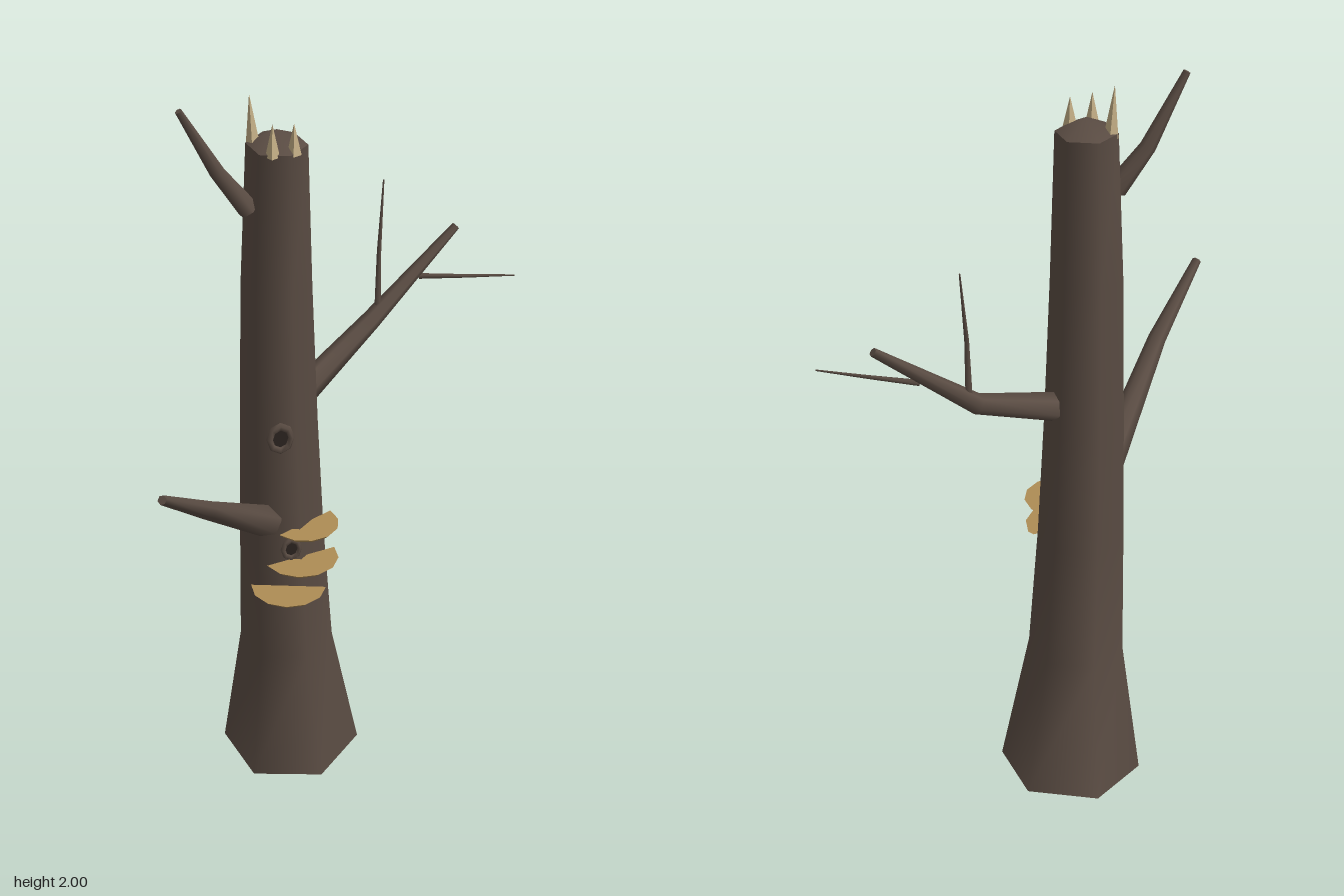
import * as THREE from 'three';

const mat = (name, color, side = THREE.FrontSide) => {
  const m = new THREE.MeshStandardMaterial({ color, side });
  m.name = name;
  return m;
};

// Tapered limb through stations [x, y, z, radius]; rings stand square to the path.
// tipRise and baseCap control the closed ends.
function limbGeometry(stations, sides, tipRise = 0, baseCap = true) {
  const pts = stations.map(s => new THREE.Vector3(s[0], s[1], s[2]));
  const up = new THREE.Vector3(0, 1, 0);
  const pos = [], index = [];
  const add = v => pos.push(v.x, v.y, v.z) / 3 - 1;
  const last = pts.length - 1;
  const tangent = i => pts[Math.min(i + 1, last)].clone().sub(pts[Math.max(i - 1, 0)]).normalize();
  const ring = i => {
    const q = new THREE.Quaternion().setFromUnitVectors(up, tangent(i));
    return Array.from({ length: sides }, (_, k) => {
      const a = k / sides * Math.PI * 2, r = stations[i][3];
      return add(new THREE.Vector3(Math.sin(a) * r, 0, Math.cos(a) * r).applyQuaternion(q).add(pts[i]));
    });
  };
  const rings = pts.map((_, i) => ring(i));
  for (let i = 0; i < last; i++) {
    for (let k = 0; k < sides; k++) {
      const n = (k + 1) % sides;
      const a = rings[i][k], b = rings[i][n], c = rings[i + 1][n], d = rings[i + 1][k];
      index.push(a, b, c, a, c, d);
    }
  }
  const cap = (i, rise, flip) => {
    const edge = ring(i);
    const apex = add(pts[i].clone().addScaledVector(tangent(i), rise));
    edge.forEach((v, k) => {
      const n = edge[(k + 1) % sides];
      index.push(...(flip ? [n, v, apex] : [v, n, apex]));
    });
  };
  cap(last, tipRise, false);
  if (baseCap) cap(0, 0, true);
  const g = new THREE.BufferGeometry();
  g.setAttribute('position', new THREE.Float32BufferAttribute(pos, 3));
  g.setIndex(index);
  g.computeVertexNormals();
  return g;
}

export function createModel() {
  const model = new THREE.Group();
  model.name = 'deadTree';
  const bark = mat('bark', 0x5a4c43, THREE.DoubleSide);
  const hollow = mat('hollow', 0x2c2420);
  const fungus = mat('fungus', 0xae8c55, THREE.DoubleSide);
  const wood = mat('splinterWood', 0xc2ad85);

  const add = (name, geometry, material, parent = model) => {
    const mesh = new THREE.Mesh(geometry, material);
    mesh.name = name;
    parent.add(mesh);
    return mesh;
  };

  // Hexagonal trunk, flared and open at the foot, with a blunt broken top
  add('trunk', limbGeometry([
    [-0.108, 0.017, -0.118, 0.19],
    [-0.1, 0.4, -0.084, 0.126],
    [-0.099, 0.75, -0.063, 0.112],
    [-0.098, 1.1, -0.05, 0.101],
    [-0.096, 1.49, -0.04, 0.09],
    [-0.083, 1.875, -0.026, 0.076],
  ], 6, 0.038, false), bark);

  // Branches
  const branches = {
    frontBranch: [[-0.085, 0.83, 0.03, 0.044], [-0.007, 1.085, 0.4, 0.024], [0.01, 1.228, 0.606, 0.012]],
    upperBranch: [[-0.125, 1.715, 0.035, 0.028], [-0.178, 1.82, 0.09, 0.02], [-0.225, 1.995, 0.176, 0.009]],
    backBranch: [[-0.065, 1.16, -0.13, 0.037], [-0.015, 1.27, -0.37, 0.026], [0.102, 1.482, -0.6, 0.011]],
  };
  for (const [name, path] of Object.entries(branches)) add(name, limbGeometry(path, 6), bark);

  // Thin twigs on the back branch
  add('sideTwig', limbGeometry([[0.055, 1.365, -0.495, 0.008], [0.165, 1.37, -0.555, 0.005], [0.275, 1.377, -0.615, 0.002]], 5), bark);
  add('uprightTwig', limbGeometry([[-0.008, 1.3, -0.39, 0.009], [-0.012, 1.46, -0.398, 0.006], [-0.018, 1.65, -0.424, 0.002]], 5), bark);

  // Knot holes: raised oval ring around a dark disc
  [[-0.04, 1.095, 0.03, 0.028], [-0.018, 0.757, 0.014, 0.022]].forEach(([x, y, z, r], i) => {
    const knot = new THREE.Group();
    knot.name = `knot${i + 1}`;
    add('knotRing', new THREE.TorusGeometry(r, r * 0.32, 5, 8), bark, knot);
    add('knotHollow', new THREE.CircleGeometry(r, 8), hollow, knot);
    knot.position.set(x, y, z);
    knot.rotation.y = Math.PI / 4;
    knot.scale.y = 1.25;
    model.add(knot);
  });

  // Shelf fungi: half discs, [x, y, z, radius, facing angle from +z]
  [[-0.01, 0.806, -0.04, 0.09, 75], [-0.01, 0.711, -0.02, 0.1, 60], [-0.03, 0.626, 0.01, 0.1, 30]]
    .forEach(([x, y, z, r, deg], i) => {
      const g = new THREE.CylinderGeometry(r, r * 0.85, 0.013, 6, 1, false, -Math.PI / 2, Math.PI);
      const shelf = add(`shelfFungus${i + 1}`, g, fungus);
      shelf.position.set(x, y, z);
      shelf.rotation.y = THREE.MathUtils.degToRad(deg);
    });

  // Pale splinters around the broken top, [x, z, height]
  [[-0.138, 0.002, 0.135], [-0.058, 0.03, 0.085], [-0.024, -0.012, 0.08]].forEach(([x, z, h], i) => {
    const g = new THREE.ConeGeometry(0.018, h, 4).toNonIndexed();
    g.computeVertexNormals();
    const s = add(`splinter${i + 1}`, g, wood);
    s.position.set(x, 1.865 + h / 2, z);
    s.rotation.set(0, 0.5, i === 0 ? 0.06 : 0);
  });

  return model;
}
